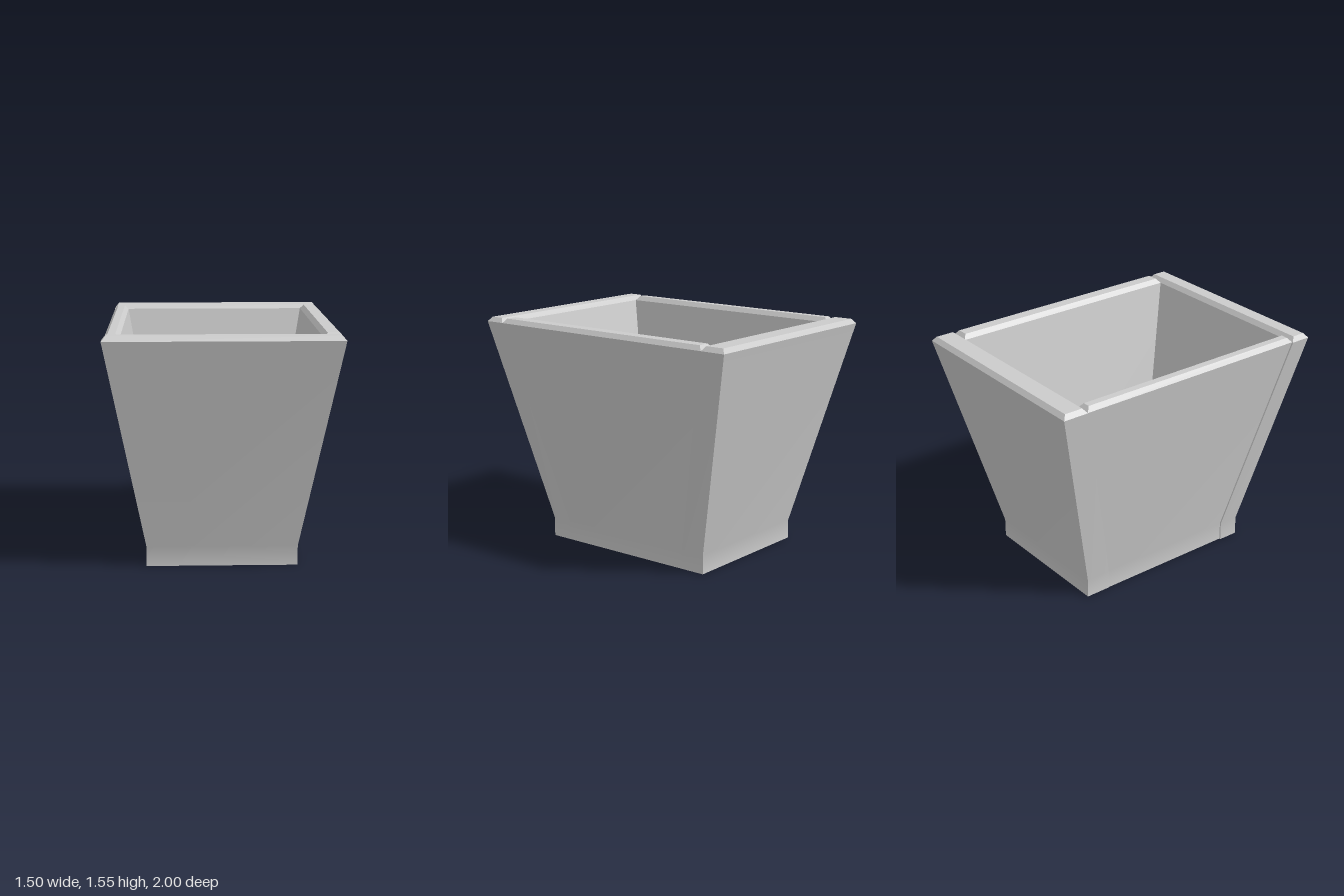
import * as THREE from 'three';

const material = new THREE.MeshStandardMaterial({ color: 0xcccccc });

// Heights: base, kink, rim edge, chamfered top
const KINK = 0.13, RIM = 1.52, TOP = 1.55, FLOOR = 0.33;

// Stacks rectangular sections [y, x0, x1, z0, z1]. Each side is smooth across
// its shallow kink and sharp at corners and at the chamfer (the last band).
function board(name, sections, chamfered = true) {
  const pos = [], index = [];
  const corners = ([y, x0, x1, z0, z1]) => [[x0, y, z1], [x1, y, z1], [x1, y, z0], [x0, y, z0]];
  const strip = (rows, side) => {
    const base = pos.length / 3;
    rows.forEach((row, i) => {
      const c = corners(row);
      pos.push(...c[side], ...c[(side + 1) % 4]);
      if (i > 0) {
        const a = base + (i - 1) * 2;
        index.push(a, a + 1, a + 3, a, a + 3, a + 2);
      }
    });
  };
  const bands = chamfered ? [sections.slice(0, -1), sections.slice(-2)] : [sections];
  for (const rows of bands) for (let s = 0; s < 4; s++) strip(rows, s);
  // end caps
  const cap = (row, up) => {
    const b = pos.length / 3;
    corners(row).forEach((c) => pos.push(...c));
    index.push(...(up ? [b, b + 1, b + 2, b, b + 2, b + 3] : [b, b + 2, b + 1, b, b + 3, b + 2]));
  };
  cap(sections[0], false);
  cap(sections[sections.length - 1], true);

  const geometry = new THREE.BufferGeometry();
  geometry.setAttribute('position', new THREE.Float32BufferAttribute(pos, 3));
  geometry.setIndex(index);
  geometry.computeVertexNormals();
  const mesh = new THREE.Mesh(geometry, material);
  mesh.name = name;
  return mesh;
}

// Three body sections plus the inset chamfer at the rim
function wall(name, low, high) {
  const c = 0.025;
  const [x0, x1, z0, z1] = high;
  return board(name, [
    [0, ...low], [KINK, ...low], [RIM, ...high],
    [TOP, x0 + c, x1 - c, z0 + c, z1 - c],
  ]);
}

export function createModel() {
  const group = new THREE.Group();
  group.name = 'planter';

  // Full-width end walls
  group.add(wall('frontWall', [-0.497, 0.49, 0.515, 0.655], [-0.753, 0.747, 0.86, 1.0]));
  group.add(wall('backWall', [-0.49, 0.49, -0.655, -0.48], [-0.745, 0.747, -1.0, -0.825]));

  // Side walls fitted between the end walls
  group.add(wall('leftWall', [0.365, 0.49, -0.48, 0.515], [0.62, 0.747, -0.825, 0.86]));
  group.add(wall('rightWall', [-0.487, -0.39, -0.48, 0.515], [-0.743, -0.645, -0.825, 0.86]));

  // Thick floor with a small chamfer along its right edge
  group.add(board('floor', [
    [0, -0.39, 0.365, -0.48, 0.515],
    [KINK, -0.39, 0.365, -0.48, 0.515],
    [FLOOR - 0.03, -0.425, 0.405, -0.53, 0.56],
    [FLOOR, -0.4, 0.408, -0.54, 0.565],
  ]));

  return group;
}
